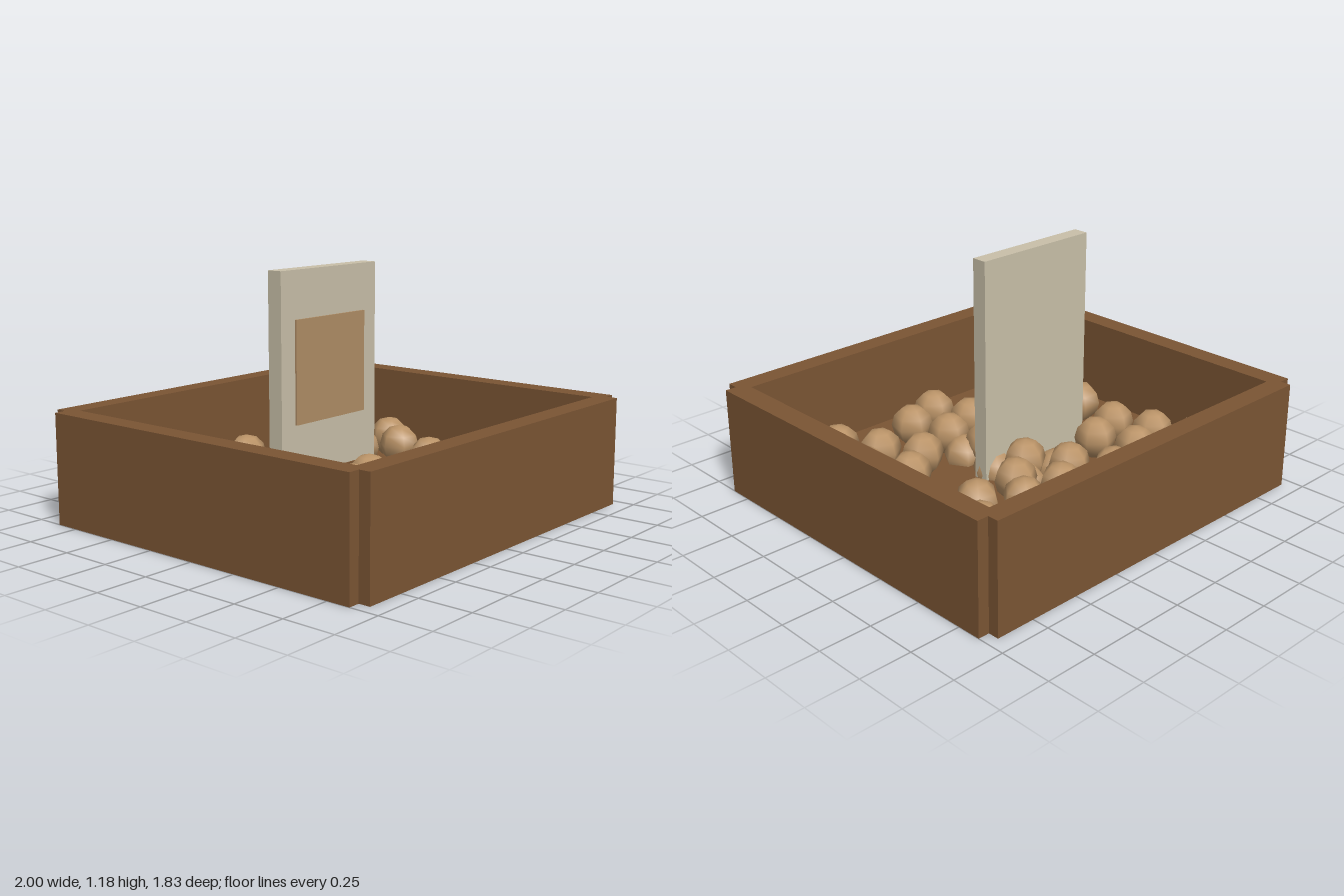
import * as THREE from 'three';

const material = (name, color) => {
  const m = new THREE.MeshStandardMaterial({ color });
  m.name = name;
  return m;
};

export function createModel() {
  const model = new THREE.Group();
  model.name = 'potatoCrate';
  const wood = material('brown wood', 0x7b5534);
  const board = material('pale board', 0xc9c0a9);
  const tan = material('tan panel', 0xb08d66);
  const skin = material('potato skin', 0xba9367);
  const cream = material('cream', 0xe6dfcc);

  // Box given by its minimum and maximum corners
  const box = (name, mat, [x0, y0, z0], [x1, y1, z1]) => {
    const mesh = new THREE.Mesh(new THREE.BoxGeometry(x1 - x0, y1 - y0, z1 - z0), mat);
    mesh.position.set((x0 + x1) / 2, (y0 + y1) / 2, (z0 + z1) / 2);
    mesh.name = name;
    model.add(mesh);
  };

  // Crate: floor and four walls, with notched outer corners
  const h = 0.525;
  box('crateFloor', wood, [-0.9, 0, -0.82], [0.9, 0.1, 0.82]);
  box('frontWall', wood, [-0.945, 0, 0.813], [0.945, h, 0.917]);
  box('backWall', wood, [-0.945, 0, -0.917], [0.945, h, -0.817]);
  box('leftWall', wood, [0.893, 0, -0.865], [1, h, 0.862]);
  box('rightWall', wood, [-1, 0, -0.865], [-0.897, h, 0.862]);

  // Upright sign with two panels on its front
  box('signBoard', board, [-0.46, 0, -0.045], [0.195, 1.18, 0.03]);
  box('signPanel', tan, [-0.37, 0.485, 0.03], [0.105, 0.96, 0.039]);
  box('lowerPanel', wood, [-0.37, 0.1, 0.03], [0.105, 0.25, 0.039]);

  // Potatoes: clusters of two by three, each turned by its own angle
  const potatoShape = new THREE.SphereGeometry(0.103, 6, 6);
  const clusters = [
    [-0.545, 0.36, 0, 0.195],
    [0, 0.36, 18, 0.195],
    [0.54, 0.36, 34, 0.195],
    [-0.55, -0.37, 18, 0.195],
    [0, -0.37, 34, 0.195],
    [0.54, -0.37, 52, 0.195],
    [0, 0, 0, 0.12],
  ];
  for (const [x, z, degrees, y] of clusters) {
    const cluster = new THREE.Group();
    cluster.name = 'potatoCluster';
    cluster.position.set(x, y, z);
    cluster.rotation.y = THREE.MathUtils.degToRad(degrees);
    for (const px of [-0.104, 0.104]) {
      for (const pz of [-0.21, 0, 0.21]) {
        const potato = new THREE.Mesh(potatoShape, skin);
        potato.name = 'potato';
        potato.position.set(px, 0, pz);
        cluster.add(potato);
      }
    }
    model.add(cluster);
  }

  // Two small pale pebbles at the foot of the sign
  for (const [x, z] of [[-0.11, 0.085], [-0.06, 0.06]]) {
    const pebble = new THREE.Mesh(new THREE.SphereGeometry(0.04, 6, 6), cream);
    pebble.name = 'pebble';
    pebble.position.set(x, 0.16, z);
    model.add(pebble);
  }
  return model;
}
